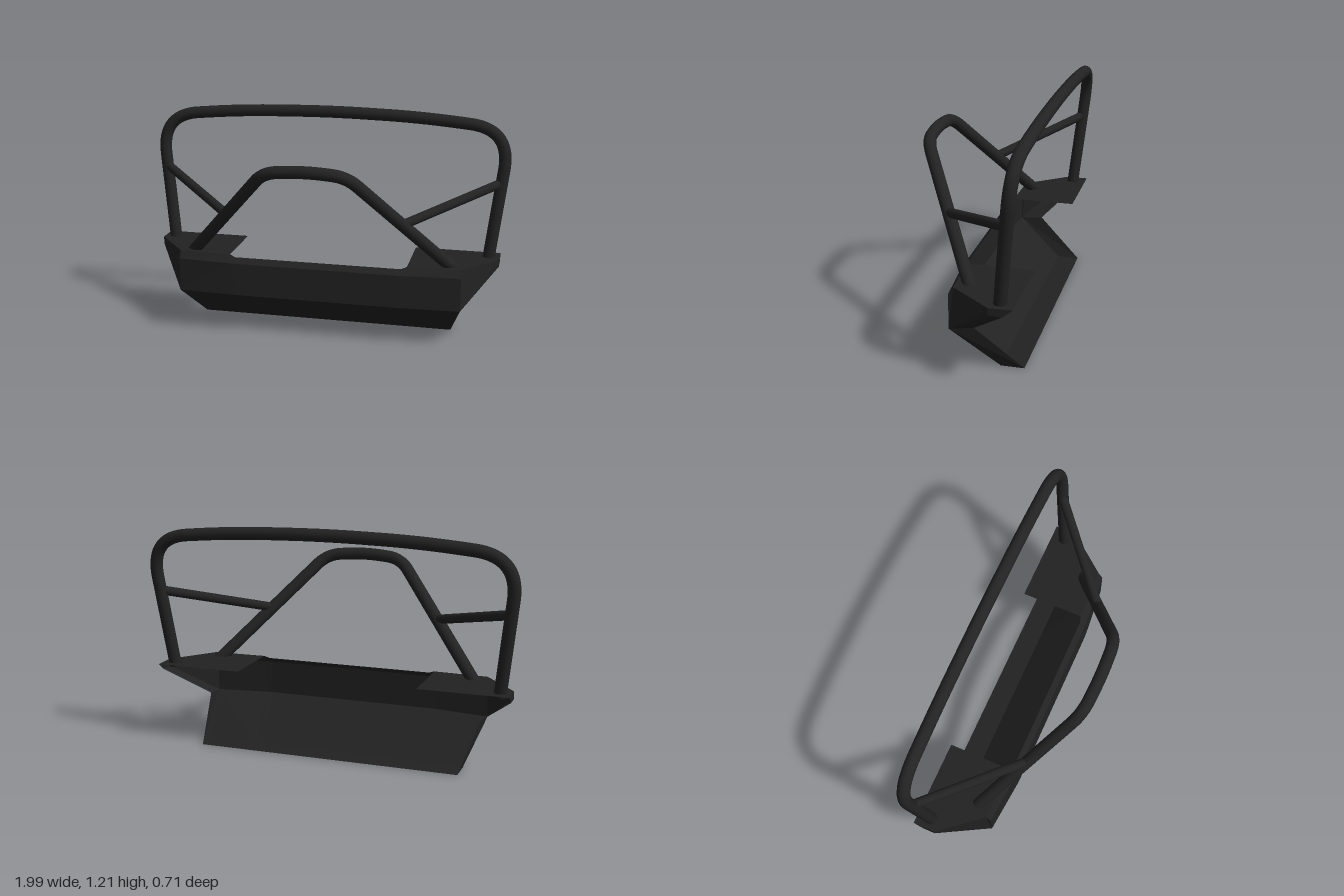
import * as THREE from 'three';

const V = (x, y, z) => new THREE.Vector3(x, y, z);
const plateMat = new THREE.MeshStandardMaterial({ color: 0x222222, side: THREE.DoubleSide, flatShading: true });
const tubeMat = new THREE.MeshStandardMaterial({ color: 0x222222, side: THREE.DoubleSide });

// Sheet metal: each convex polygon becomes a fan of triangles
function plate(name, polygons) {
  const pos = [];
  for (const p of polygons)
    for (let i = 1; i < p.length - 1; i++) pos.push(...p[0], ...p[i], ...p[i + 1]);
  const geo = new THREE.BufferGeometry();
  geo.setAttribute('position', new THREE.Float32BufferAttribute(pos, 3));
  geo.computeVertexNormals();
  const mesh = new THREE.Mesh(geo, plateMat);
  mesh.name = name;
  return mesh;
}

// Bent pipe: straight runs joined by rounded corners
function bentTube(name, pts, bends, radius, segments) {
  const path = new THREE.CurvePath();
  let from = pts[0];
  for (let i = 1; i < pts.length - 1; i++) {
    const toward = (q) => pts[i].clone().add(q.clone().sub(pts[i]).setLength(bends[i - 1]));
    const a = toward(pts[i - 1]), b = toward(pts[i + 1]);
    path.add(new THREE.LineCurve3(from, a));
    path.add(new THREE.QuadraticBezierCurve3(a, pts[i], b));
    from = b;
  }
  path.add(new THREE.LineCurve3(from, pts[pts.length - 1]));
  const mesh = new THREE.Mesh(new THREE.TubeGeometry(path, segments, radius, 20), tubeMat);
  mesh.name = name;
  return mesh;
}

const mirrorX = (polys, s) => polys.map((p) => p.map(([x, y, z]) => [x * s, y, z]));

export function createModel() {
  const group = new THREE.Group();

  // Folded main shell: bevel, face, sloped skid and bottom lip across the width
  const half = [
    [[0.78, 0.43, 0.02], [0.78, 0.39, 0.045], [0.78, 0.205, 0.045], [0.71, 0, -0.2], [0.71, 0, -0.32]],
    [[0.49, 0.43, 0.03], [0.49, 0.39, 0.068], [0.49, 0.21, 0.072], [0.45, 0, -0.2], [0.45, 0, -0.32]],
    [[0.46, 0.418, 0.04], [0.46, 0.39, 0.07], [0.46, 0.21, 0.073], [0.42, 0, -0.2], [0.42, 0, -0.32]],
  ];
  const stations = [...half, ...[...half].reverse().map((s) => mirrorX([s], -1)[0])];
  ['topBevel', 'frontFace', 'skidPlate', 'bottomLip'].forEach((name, r) => {
    const quads = [];
    for (let i = 0; i < stations.length - 1; i++) {
      const a = stations[i], b = stations[i + 1];
      quads.push([a[r], b[r], b[r + 1], a[r + 1]]);
    }
    group.add(plate(name, quads));
  });

  for (const [side, s] of [['left', 1], ['right', -1]]) {
    // Wing: flat top, slanted outer face, underside and outer rim
    group.add(plate(side + 'WingTop', mirrorX([
      [[0.49, 0.43, 0.03], [0.78, 0.43, 0.02], [0.96, 0.43, -0.2], [0.96, 0.43, -0.32], [0.49, 0.43, -0.32]],
    ], s)));
    group.add(plate(side + 'WingSide', mirrorX([
      [[0.78, 0.205, 0.045], [0.96, 0.39, -0.2], [0.96, 0.43, -0.2], [0.78, 0.43, 0.02], [0.78, 0.39, 0.045]],
      [[0.78, 0.205, 0.045], [0.77, 0.22, -0.08], [0.96, 0.39, -0.27], [0.96, 0.39, -0.2]],
      [[0.96, 0.43, -0.2], [0.96, 0.39, -0.2], [0.96, 0.39, -0.27], [0.96, 0.43, -0.32]],
    ], s)));
    // End plate of the skid
    group.add(plate(side + 'SkidEnd', mirrorX([
      [[0.78, 0.205, 0.045], [0.77, 0.22, -0.08], [0.71, 0, -0.32], [0.71, 0, -0.2]],
    ], s)));
    // Brace between the two hoops
    group.add(bentTube(side + 'Brace', [V(0.945 * s, 0.835, -0.285), V(0.475 * s, 0.69, 0.13)], [], 0.025, 1));
  }

  // Tall rear hoop, leaning back
  const rear = (x, y) => V(x, y, -0.245 - (y - 0.43) * 0.1);
  group.add(bentTube('rearHoop', [
    rear(0.898, 0.41), rear(0.985, 1.125), rear(0.5, 1.17), rear(0, 1.182),
    rear(-0.5, 1.17), rear(-0.985, 1.125), rear(-0.898, 0.41),
  ], [0.22, 0.2, 0.2, 0.2, 0.22], 0.033, 160));

  // Short front hoop, leaning forward
  const front = (x, y) => V(x, y, -0.04 + (y - 0.43) * 0.652);
  group.add(bentTube('frontHoop', [
    front(0.73, 0.41), front(0.215, 0.975), front(0, 0.993), front(-0.215, 0.975), front(-0.73, 0.41),
  ], [0.08, 0.1, 0.08], 0.033, 120));

  return group;
}
